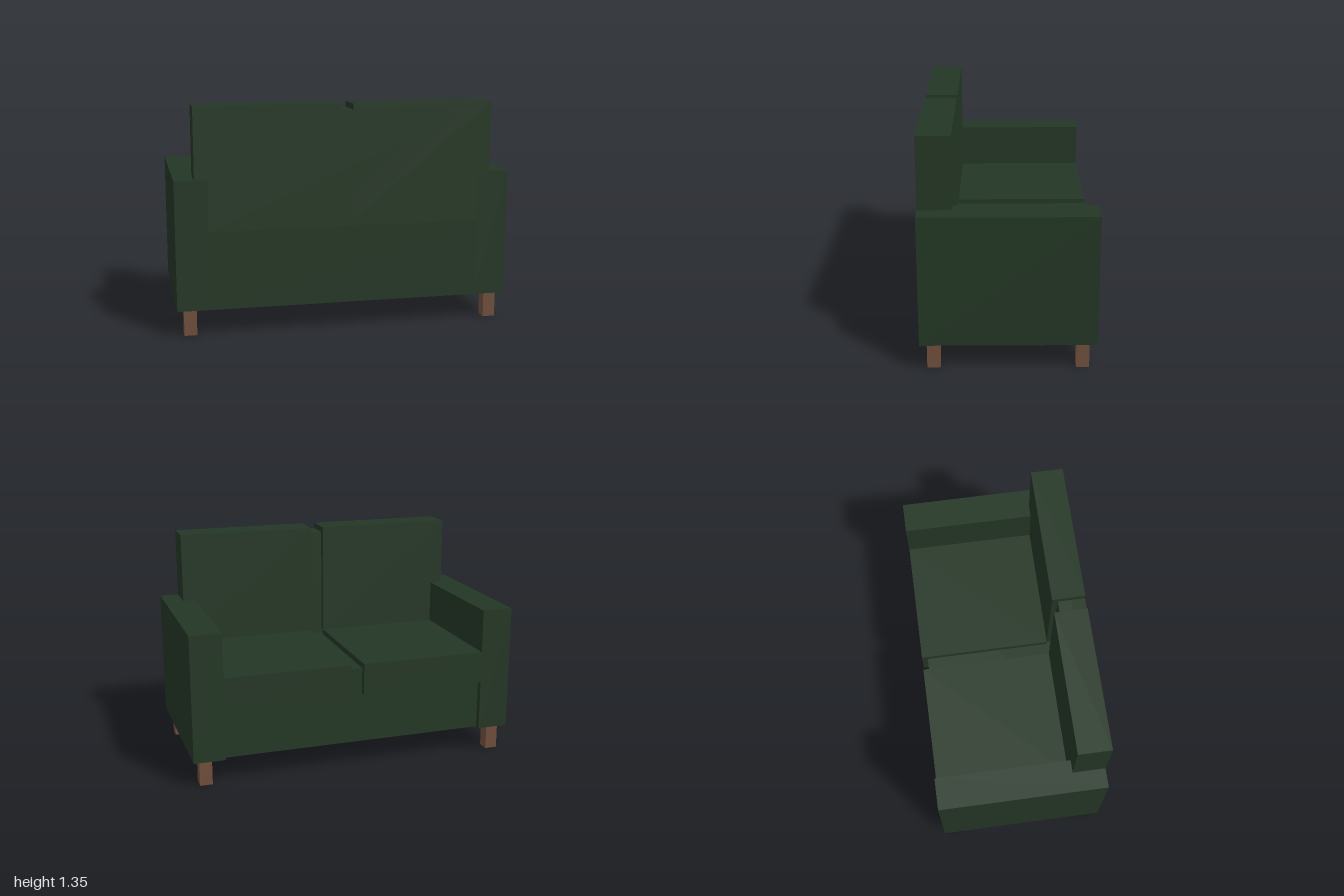
import * as THREE from 'three';

export function createModel() {
  const sofa = new THREE.Group();
  sofa.name = 'sofa';

  const fabric = new THREE.MeshStandardMaterial({ color: 0x233624 });
  fabric.name = 'dark green fabric';
  const wood = new THREE.MeshStandardMaterial({ color: 0x6f4e3c });
  wood.name = 'brown wood';

  // Box given by its minimum and maximum on each axis
  function box(name, material, [x0, x1], [y0, y1], [z0, z1]) {
    const mesh = new THREE.Mesh(new THREE.BoxGeometry(x1 - x0, y1 - y0, z1 - z0), material);
    mesh.position.set((x0 + x1) / 2, (y0 + y1) / 2, (z0 + z1) / 2);
    mesh.name = name;
    sofa.add(mesh);
  }
  const mirrored = (side, a, b) => (side > 0 ? [a, b] : [-b, -a]);

  // Frame: seat base and back panel; the seat opens toward -z
  box('seatBase', fabric, [-0.81, 0.81], [0.16, 0.625], [-0.465, 0.5]);
  box('backPanel', fabric, [-0.81, 0.81], [0.625, 1.31], [0.34, 0.5]);

  for (const side of [-1, 1]) {
    const label = side > 0 ? 'left' : 'right';
    box(label + 'Arm', fabric, mirrored(side, 0.81, 1), [0.16, 0.925], [-0.5, 0.5]);

    // Cushions, parted by a narrow gap in the middle
    box(label + 'SeatCushion', fabric, mirrored(side, 0.04, 0.81), [0.465, 0.66], [-0.5, 0.305]);
    box(label + 'BackCushion', fabric, mirrored(side, 0.04, 0.885), [0.66, 1.345], [0.305, 0.5]);

    // Legs
    box(label + 'FrontLeg', wood, mirrored(side, 0.885, 0.96), [0, 0.16], [-0.46, -0.385]);
    box(label + 'BackLeg', wood, mirrored(side, 0.885, 0.96), [0, 0.16], [0.385, 0.46]);
  }
  return sofa;
}
